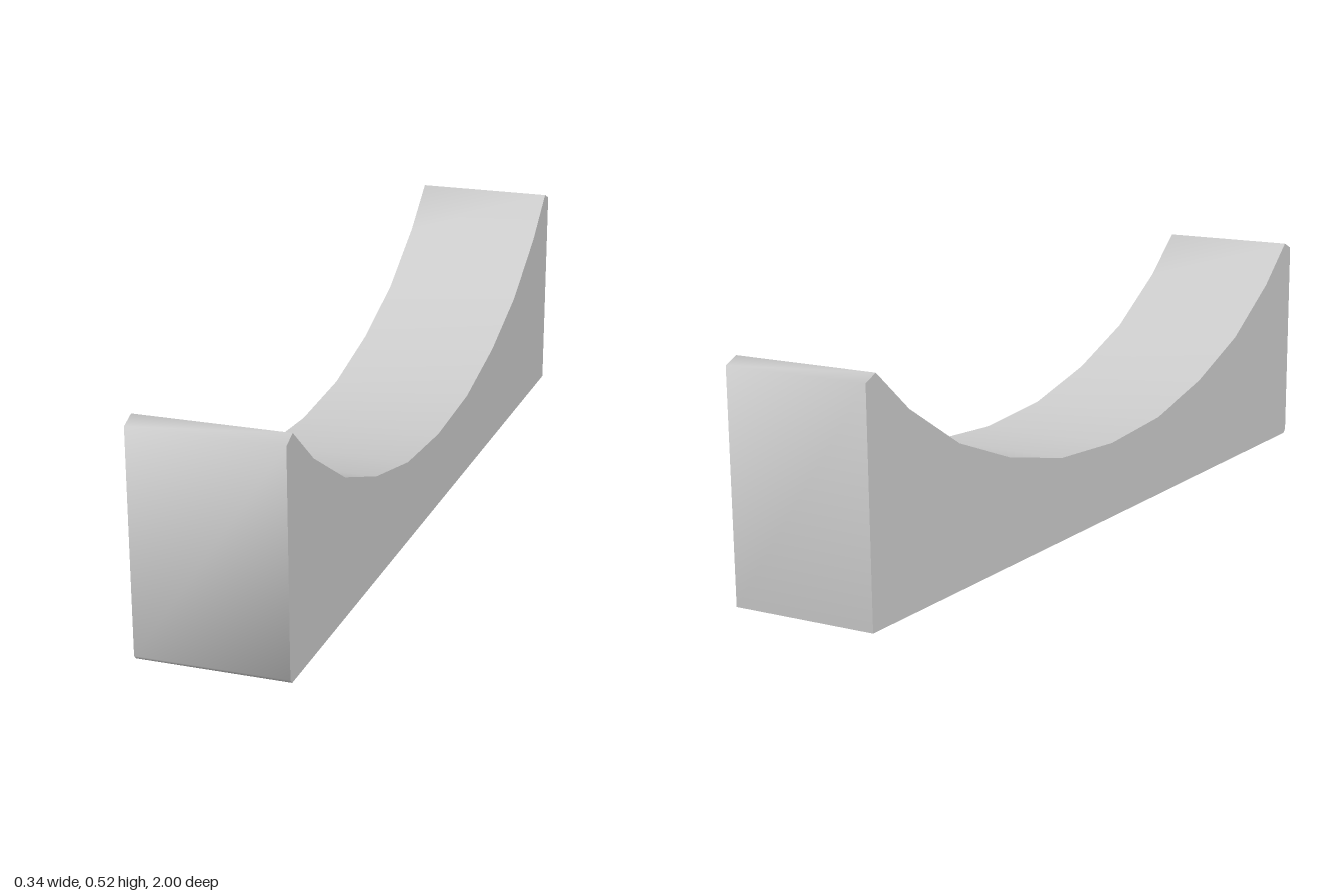
import * as THREE from 'three';
import { toCreasedNormals } from 'three/addons/utils/BufferGeometryUtils.js';

const WIDTH = 0.34;

// Half of the upper outline, from one end to the middle: [distance from centre, height]
const HALF = [[1, 0.51], [0.965, 0.525], [0.85, 0.43], [0.665, 0.32], [0.46, 0.245], [0.235, 0.195]];

export function createModel() {
  const group = new THREE.Group();
  group.name = 'archedCradle';

  // Side outline: mirrored concave top, flat base, tiny bevel at the front foot
  const mirrored = HALF.map(([d, y]) => [-d, y]).reverse();
  const outline = [[-0.99, 0], [0.985, 0], [0.995, 0.01], ...HALF, [0, 0.18], ...mirrored];
  const shape = new THREE.Shape(outline.map(([z, y]) => new THREE.Vector2(-z, y)));

  // Extrude across the width; the rim is smooth, the side faces stay sharp
  const solid = new THREE.ExtrudeGeometry(shape, { depth: WIDTH, bevelEnabled: false });
  solid.translate(0, 0, -WIDTH / 2);
  solid.rotateY(Math.PI / 2);
  const geometry = toCreasedNormals(solid, THREE.MathUtils.degToRad(80));

  const body = new THREE.Mesh(geometry, new THREE.MeshStandardMaterial({ color: 0xcccccc }));
  body.name = 'cradleBody';
  group.add(body);
  return group;
}
